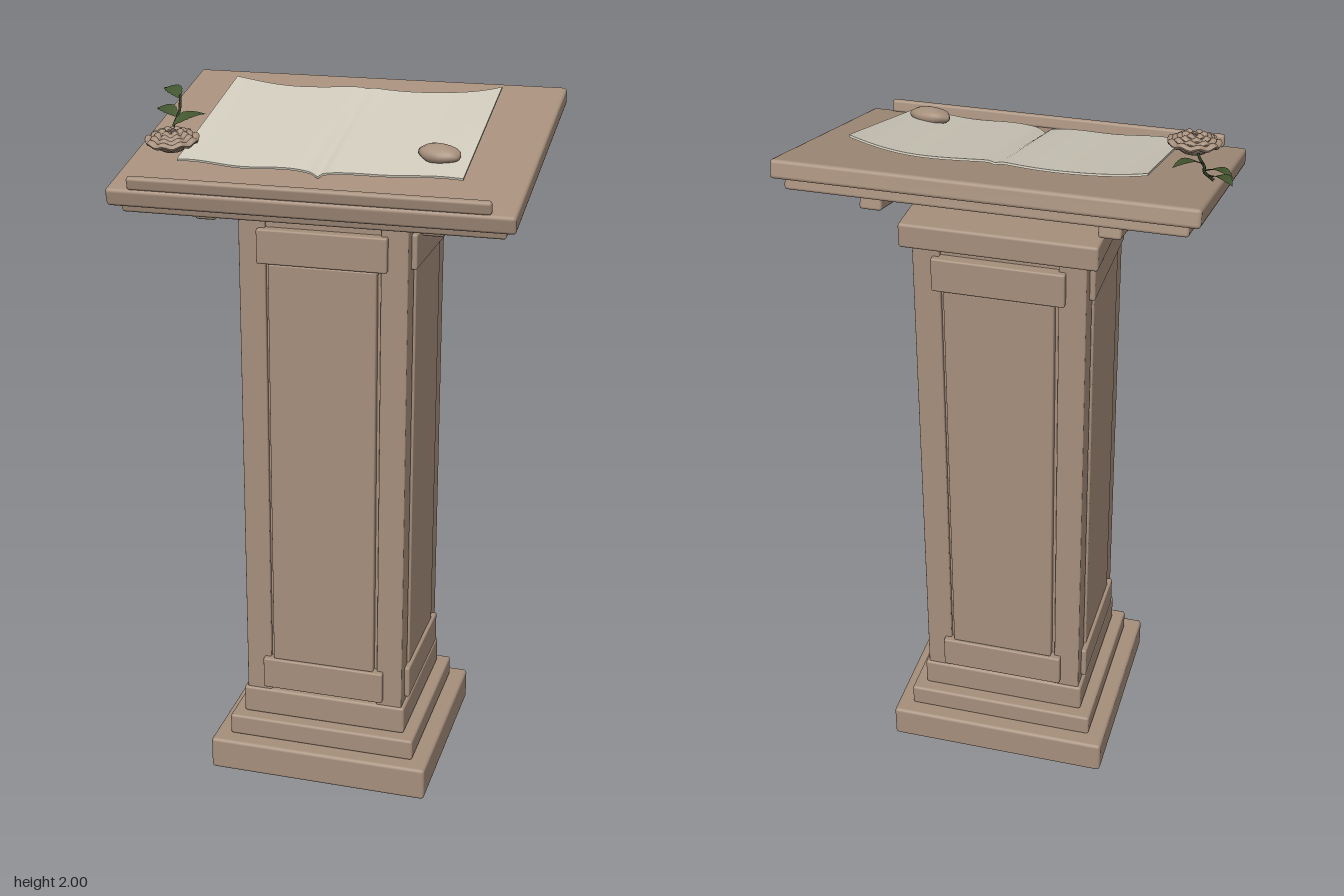
import * as THREE from 'three';
import { RoundedBoxGeometry } from 'three/addons/geometries/RoundedBoxGeometry.js';

const CX = 0.02;      // column axis
const TILT = 0.233;   // slope of the reading board

export function createModel() {
  const model = new THREE.Group();
  model.name = 'lectern';
  const mat = (name, color, side = THREE.FrontSide) => {
    const m = new THREE.MeshStandardMaterial({ color, side });
    m.name = name;
    return m;
  };
  const stone = mat('tan stone', 0xa68f7c);
  const paper = mat('paper', 0xcfcabb);
  const green = mat('leaf green', 0x43552f, THREE.DoubleSide);
  const darkGreen = mat('stem green', 0x2f3d24);

  const add = (parent, name, geo, material, x = 0, y = 0, z = 0) => {
    const m = new THREE.Mesh(geo, material);
    m.name = name;
    m.position.set(x, y, z);
    parent.add(m);
    return m;
  };
  const block = (parent, name, w, h, d, x, y, z, r = 0.008) =>
    add(parent, name, new RoundedBoxGeometry(w, h, d, 2, r), stone, x, y, z);

  // Column: stepped plinth, core, corner posts and cap
  const column = new THREE.Group();
  column.name = 'column';
  column.position.x = CX;
  model.add(column);
  block(column, 'plinthBottom', 0.66, 0.1, 0.62, 0, 0.05, 0, 0.01);
  block(column, 'plinthMiddle', 0.565, 0.065, 0.53, 0, 0.1325, 0);
  block(column, 'plinthTop', 0.495, 0.085, 0.46, 0, 0.2075, 0);
  add(column, 'core', new THREE.BoxGeometry(0.445, 1.46, 0.42), stone, 0, 0.975, 0);
  for (const sx of [-1, 1]) for (const sz of [-1, 1])
    block(column, 'cornerPost', 0.075, 1.46, 0.072, sx * 0.2, 0.975, sz * 0.187, 0.004);
  block(column, 'cap', 0.54, 0.07, 0.48, 0, 1.735, 0);

  // Raised panel and two rails on each side
  for (let i = 0; i < 4; i++) {
    const side = new THREE.Group();
    side.name = 'columnFace';
    side.rotation.y = i * Math.PI / 2;
    column.add(side);
    const out = i % 2 ? 0.252 : 0.241;
    const panel = i % 2 ? 0.295 : 0.305;
    block(side, 'panel', panel, 1.22, 0.04, 0, 0.97, out - 0.029, 0.005);
    for (const y of [0.313, 1.63]) block(side, 'rail', 0.365, 0.097, 0.04, 0, y, out - 0.02, 0.005);
  }

  // Sloping board with under-layer, battens and front ledge
  const desk = new THREE.Group();
  desk.name = 'desk';
  desk.position.set(CX, 1.868, 0);
  desk.rotation.x = TILT;
  model.add(desk);
  block(desk, 'board', 1.1, 0.05, 0.8, 0, 0, 0, 0.01);
  block(desk, 'underBoard', 1.04, 0.034, 0.745, 0, -0.038, 0);
  for (const x of [-0.313, 0.313]) block(desk, 'batten', 0.06, 0.05, 0.605, x, -0.075, 0);
  block(desk, 'ledge', 0.975, 0.036, 0.022, 0, 0.041, 0.385);

  // Open pages: a thin slab lifted by a wave that changes from front to back
  const pages = new THREE.BoxGeometry(0.78, 0.006, 0.525, 48, 1, 16);
  const p = pages.attributes.position;
  for (let i = 0; i < p.count; i++) {
    const t = p.getX(i) / 0.39, s = Math.abs(t);
    const back = 0.5 - p.getZ(i) / 0.525;
    const front = 0.008 + 0.022 * Math.sqrt(s) * (1 - 0.25 * s) + 0.003 * Math.sin(s * 9);
    const rear = 0.025 - 0.009 * Math.sin(Math.PI * s) + 0.016 * s ** 4 * (t > 0 ? 1.4 : 0.7);
    const gutter = -0.006 * Math.exp(-((s / 0.03) ** 2));
    p.setY(i, p.getY(i) + 0.028 + front * (1 - back) + rear * back + gutter);
    p.setZ(i, p.getZ(i) + 0.003 * Math.sin(t * 8));
  }
  pages.computeVertexNormals();
  add(desk, 'openPages', pages, paper, 0, 0, 0.002);

  // Lumpy pebble resting on the page
  const pebbleGeo = new THREE.SphereGeometry(1, 24, 16);
  const q = pebbleGeo.attributes.position;
  for (let i = 0; i < q.count; i++) {
    const x = q.getX(i), y = q.getY(i), z = q.getZ(i);
    const k = 1 + 0.05 * Math.sin(4 * x + 2 * y) * Math.cos(5 * z + y);
    q.setXYZ(i, x * k * 0.06, y * k * 0.024, z * k * 0.038);
  }
  pebbleGeo.computeVertexNormals();
  const pebble = add(desk, 'pebble', pebbleGeo, stone, 0.304, 0.068, 0.157);
  pebble.rotation.y = -0.25;

  // Flower: cup, scalloped petal rings rising inward and a bud of small petals
  const flower = new THREE.Group();
  flower.name = 'flower';
  flower.position.set(-0.433, 0.04, 0.178);
  flower.rotation.x = -0.1;
  desk.add(flower);
  const cup = [[0, 0], [0.03, 0.002], [0.045, 0.012], [0.06, 0.025], [0.06, 0.032], [0, 0.04]];
  add(flower, 'cup', new THREE.LatheGeometry(cup.map(a => new THREE.Vector2(...a)), 32), stone);
  [0.063, 0.049, 0.036, 0.024].forEach((r, k) => {
    const ring = new THREE.TorusGeometry(r, 0.0105, 8, 48);
    ring.rotateX(-Math.PI / 2);
    const a = ring.attributes.position;
    for (let i = 0; i < a.count; i++) {
      const ang = Math.atan2(a.getZ(i), a.getX(i));
      const wave = Math.sin(ang * (9 - k) + k);
      const g = 1 + 0.025 * wave;
      a.setXYZ(i, a.getX(i) * g, a.getY(i) * 0.8 + 0.004 * wave, a.getZ(i) * g);
    }
    ring.computeVertexNormals();
    add(flower, 'petalRing', ring, stone, 0, 0.03 + k * 0.006, 0);
  });
  for (let i = 0; i < 7; i++) {
    const ang = i * Math.PI * 2 / 7;
    const bud = add(flower, 'budPetal', new THREE.SphereGeometry(1, 10, 8), stone,
      Math.cos(ang) * 0.011, 0.047, Math.sin(ang) * 0.011);
    bud.scale.set(0.009, 0.008, 0.004);
    bud.rotation.y = -ang;
  }

  // Stem with three toothed, folded leaves
  const stem = new THREE.CatmullRomCurve3([
    [-0.445, 0.05, 0.16], [-0.463, 0.042, 0.1], [-0.486, 0.04, 0.025],
    [-0.5, 0.042, -0.06], [-0.522, 0.048, -0.13], [-0.546, 0.052, -0.195],
  ].map(v => new THREE.Vector3(...v)));
  add(desk, 'stem', new THREE.TubeGeometry(stem, 30, 0.004, 8), darkGreen);

  const leafGeo = (length, width) => {
    const n = 16, verts = [], index = [];
    for (let i = 0; i <= n; i++) {
      const t = i / n;
      const w = width / 2 * Math.sin(Math.PI * t ** 0.85) * (i % 2 ? 1.04 : 0.93);
      const y = 0.012 * Math.sin(Math.PI * t);
      verts.push(-w, y + w * 0.2, t * length, 0, y, t * length, w, y + w * 0.2, t * length);
      if (i < n) for (const c of [0, 1]) {
        const a = i * 3 + c;
        index.push(a, a + 3, a + 1, a + 1, a + 3, a + 4);
      }
    }
    const g = new THREE.BufferGeometry();
    g.setAttribute('position', new THREE.Float32BufferAttribute(verts, 3));
    g.setIndex(index);
    g.computeVertexNormals();
    return g;
  };
  // Each leaf runs from its base to its tip on the board plane
  for (const [x0, z0, x1, z1, h] of [
    [-0.525, -0.135, -0.593, -0.207, 0.046],
    [-0.497, -0.03, -0.577, -0.08, 0.038],
    [-0.486, 0.032, -0.415, -0.052, 0.042],
  ]) {
    const dx = x1 - x0, dz = z1 - z0;
    const leaf = add(desk, 'leaf', leafGeo(Math.hypot(dx, dz), 0.05), green, x0, h, z0);
    leaf.rotation.y = Math.atan2(dx, dz);
  }
  return model;
}
